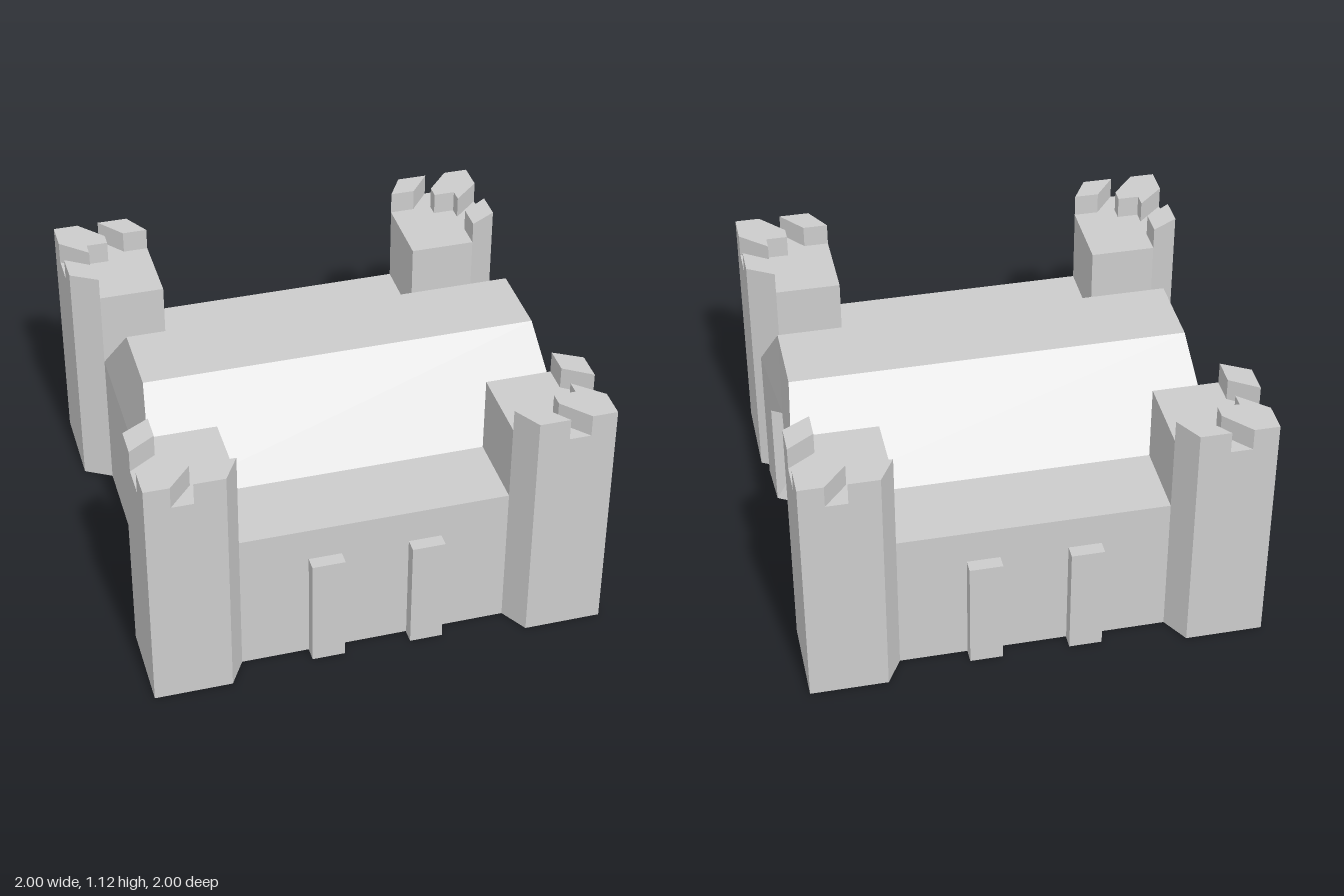
import * as THREE from 'three';

const material = new THREE.MeshStandardMaterial({ color: 0xcccccc, flatShading: true });

function addMesh(parent, name, geometry) {
  const mesh = new THREE.Mesh(geometry, material);
  mesh.name = name;
  parent.add(mesh);
  return mesh;
}

// Upright prism from a plan of [x, z] points, mirrored by the signs sx and sz
function prism(plan, y0, y1, sx = 1, sz = 1) {
  const shape = new THREE.Shape(plan.map(([x, z]) => new THREE.Vector2(x * sx, -z * sz)));
  const geometry = new THREE.ExtrudeGeometry(shape, { depth: y1 - y0, bevelEnabled: false });
  return geometry.rotateX(-Math.PI / 2).translate(0, y0, 0);
}

// Skin over rows of [x, y, z] points, all rows of equal length
function loft(rows) {
  const positions = [];
  for (let i = 0; i < rows.length - 1; i++) {
    for (let j = 0; j < rows[i].length - 1; j++) {
      const a = rows[i][j], b = rows[i + 1][j], c = rows[i][j + 1], d = rows[i + 1][j + 1];
      positions.push(...a, ...c, ...b, ...b, ...c, ...d);
    }
  }
  const geometry = new THREE.BufferGeometry();
  geometry.setAttribute('position', new THREE.Float32BufferAttribute(positions, 3));
  geometry.computeVertexNormals();
  return geometry;
}

// Half a cross-section (z > 0, from the top down) completed by its mirror image
function section(half) {
  return [...half.map(([x, y, z]) => [x, y, -z]).reverse(), ...half];
}

function createHall() {
  const hall = new THREE.Group();
  hall.name = 'hall';
  const back = [[-0.83, 1.04, 0.175], [-0.88, 0.67, 0.53], [-0.88, 0.52, 0.53], [-0.88, 0, 0.53]];
  const front = [[0.92, 1.04, 0.175], [0.97, 0.67, 0.53], [0.97, 0.52, 0.53], [0.97, 0, 0.53]];
  const arch = [[0.94, 0.745, 0], [0.96, 0.52, 0.32], [0.96, 0.52, 0.32], [0.96, 0, 0.32]];
  const inner = [[0.63, 0.745, 0], [0.66, 0.52, 0.32], [0.66, 0.52, 0.32], [0.7, 0, 0.17]];
  const seam = [[0.63, 0.745, 0], [0.63, 0.745, 0], [0.63, 0.745, 0], [0.63, 0, 0]];
  const backCentre = [[-0.88, 0.67, 0], [-0.88, 0.67, 0], [-0.88, 0.52, 0], [-0.88, 0, 0]];

  // End wall, roof, gateway wall and pointed recess in one skin
  const rows = [backCentre, back, front, arch, inner, seam].map(section);
  addMesh(hall, 'wallsRoofAndGateway', loft(rows));

  // Underside, notched at the gateway
  const outline = [
    [-0.88, -0.53], [0.97, -0.53], [0.96, -0.32], [0.7, -0.17], [0.63, 0],
    [0.7, 0.17], [0.96, 0.32], [0.97, 0.53], [-0.88, 0.53],
  ];
  const floor = new THREE.ShapeGeometry(new THREE.Shape(outline.map(([x, z]) => new THREE.Vector2(x, z))));
  addMesh(hall, 'underside', floor.rotateX(Math.PI / 2));
  return hall;
}

const towerPlan = [[1, 1], [0.66, 1], [0.59, 0.88], [0.59, 0.53], [0.88, 0.53], [1, 0.6]];
const merlonPlans = [
  [[1, 1], [0.89, 1], [0.785, 0.88], [0.785, 0.82], [0.88, 0.82], [0.88, 0.76], [1, 0.87]],
  [[0.59, 0.88], [0.66, 1], [0.795, 1], [0.7, 0.88]],
  [[1, 0.73], [1, 0.6], [0.88, 0.53], [0.88, 0.65]],
];

function createTower(sx, sz) {
  const tower = new THREE.Group();
  tower.name = 'cornerTower';
  addMesh(tower, 'towerBody', prism(towerPlan, 0, 1.02, sx, sz));
  for (const plan of merlonPlans) addMesh(tower, 'merlon', prism(plan, 1.02, 1.12, sx, sz));
  return tower;
}

export function createModel() {
  const model = new THREE.Group();
  model.name = 'castle';
  model.add(createHall());

  for (const sz of [-1, 1]) {
    // Flat-roofed aisle along each long side, with two buttresses
    addMesh(model, 'aisle', new THREE.BoxGeometry(1.18, 0.67, 0.35)).position.set(0, 0.335, sz * 0.705);
    for (const x of [-0.22, 0.22]) {
      addMesh(model, 'buttress', new THREE.BoxGeometry(0.145, 0.52, 0.06)).position.set(x, 0.26, sz * 0.915);
    }
    for (const sx of [-1, 1]) model.add(createTower(sx, sz));
  }
  return model;
}
